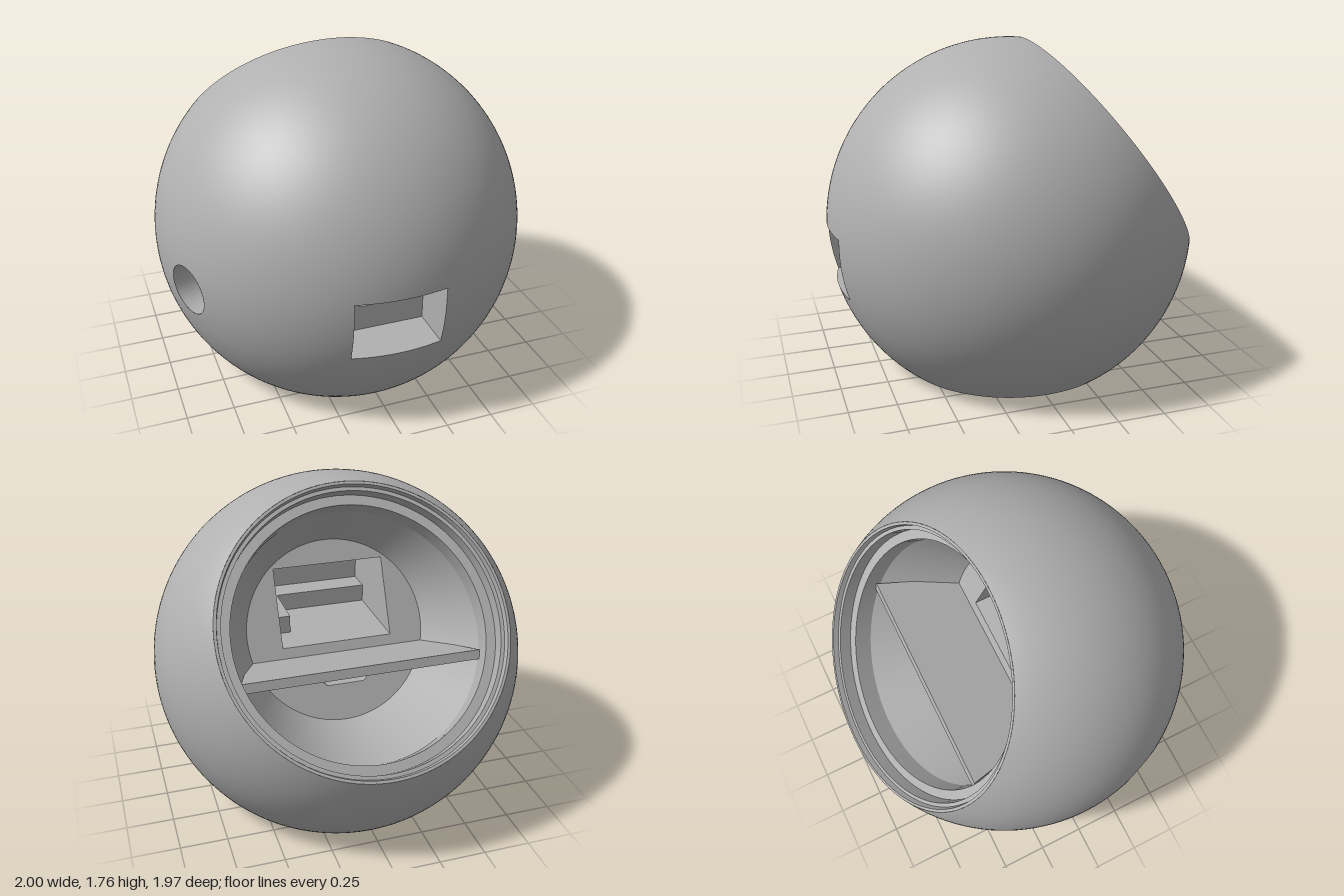
import * as THREE from 'three';
import { toCreasedNormals } from 'three/addons/utils/BufferGeometryUtils.js';

const V = (x, y, z) => new THREE.Vector3(x, y, z);
const BASE = 0.765;                       // sphere centre above the ground
const CUT = 0.653;                        // distance of the slanted cut from the centre
const AXIS = V(0, 0.588, -0.809).normalize();

// Cut a convex polygon by a plane into [part behind, part in front]
function split(poly, plane) {
  const behind = [], front = [];
  poly.forEach((a, i) => {
    const b = poly[(i + 1) % poly.length];
    const da = plane.distanceToPoint(a), db = plane.distanceToPoint(b);
    (da < 0 ? behind : front).push(a);
    if (da < 0 !== db < 0) {
      const p = a.clone().lerp(b, da / (da - db));
      behind.push(p);
      front.push(p);
    }
  });
  return [behind, front];
}

// Remove the convex region behind all the planes
function subtract(polys, planes) {
  const kept = [];
  for (const poly of polys) {
    let rest = poly;
    for (const plane of planes) {
      const [behind, front] = split(rest, plane);
      if (front.length > 2) kept.push(front);
      rest = behind;
      if (rest.length < 3) break;
    }
  }
  return kept;
}

// Skin between equal closed rings of points
function loft(...rings) {
  const pos = [], n = rings[0].length;
  for (let r = 0; r + 1 < rings.length; r++) {
    for (let i = 0; i < n; i++) {
      const j = (i + 1) % n, [p, q] = [rings[r], rings[r + 1]];
      for (const v of [p[i], p[j], q[i], p[j], q[j], q[i]]) pos.push(v.x, v.y, v.z);
    }
  }
  const g = new THREE.BufferGeometry();
  g.setAttribute('position', new THREE.Float32BufferAttribute(pos, 3));
  return toCreasedNormals(g, 0.6);
}

// Points of a rectangle outline, each side divided
function rect(x0, x1, y0, y1, n = 1) {
  const c = [[x0, y0], [x1, y0], [x1, y1], [x0, y1]];
  return c.flatMap(([x, y], k) => Array.from({ length: n }, (_, i) => {
    const [u, v] = c[(k + 1) % 4], t = i / n;
    return new THREE.Vector2(x + (u - x) * t, y + (v - y) * t);
  }));
}

// Points of a rectangle outline with round corners
function roundRect(x0, x1, y0, y1, r) {
  const s = new THREE.Shape();
  s.absarc(x1 - r, y1 - r, r, 0, Math.PI / 2);
  s.absarc(x0 + r, y1 - r, r, Math.PI / 2, Math.PI);
  s.absarc(x0 + r, y0 + r, r, Math.PI, Math.PI * 1.5);
  s.absarc(x1 - r, y0 + r, r, Math.PI * 1.5, Math.PI * 2);
  return s.getPoints(6);
}

function circle(n, fn) {
  return Array.from({ length: n }, (_, i) => fn(Math.cos(i / n * Math.PI * 2), Math.sin(i / n * Math.PI * 2)));
}

function panel(outline, ...holes) {
  const s = new THREE.Shape(outline);
  s.holes = holes.map(h => new THREE.Path(h));
  return new THREE.ShapeGeometry(s);
}

export function createModel() {
  const model = new THREE.Group();
  const body = new THREE.Group();
  body.name = 'sphericalHousing';
  body.position.set(0, BASE, -0.01);
  model.add(body);
  const grey = new THREE.MeshStandardMaterial({ color: 0xb0b0b0, side: THREE.DoubleSide });
  grey.name = 'grey';
  const add = (name, geometry) => {
    const mesh = new THREE.Mesh(geometry, grey);
    mesh.name = name;
    body.add(mesh);
    return mesh;
  };
  const plane = (x, y, z, c) => new THREE.Plane(V(x, y, z), c);

  // Outer shell: sphere minus base, slanted cut, front window and side bore
  const bore = V(-0.927, 0, 0.375).normalize(), boreSide = V(bore.z, 0, -bore.x);
  const boreY = -0.08, boreR = 0.135;
  const src = new THREE.SphereGeometry(1, 128, 80).toNonIndexed().attributes.position;
  let polys = [];
  for (let i = 0; i < src.count; i += 3) {
    polys.push([0, 1, 2].map(k => new THREE.Vector3().fromBufferAttribute(src, i + k)));
  }
  polys = subtract(polys, [plane(0, 1, 0, BASE)]);
  polys = subtract(polys, [new THREE.Plane(AXIS.clone().negate(), CUT)]);
  polys = subtract(polys, [plane(0, 0, -1, 0), plane(1, 0, 0, -0.22), plane(-1, 0, 0, -0.25),
    plane(0, 1, 0, -0.05), plane(0, -1, 0, -0.28)]);
  polys = subtract(polys, [new THREE.Plane(bore.clone().negate(), 0), ...circle(32, (c, s) => {
    const n = boreSide.clone().multiplyScalar(c).add(V(0, s, 0));
    return new THREE.Plane(n, -boreR - s * boreY);
  })]);
  const pos = [], nor = [];
  for (const p of polys) {
    for (let i = 1; i + 1 < p.length; i++) {
      for (const v of [p[0], p[i], p[i + 1]]) {
        pos.push(v.x, v.y, v.z);
        nor.push(...v.clone().normalize().toArray());
      }
    }
  }
  const shell = new THREE.BufferGeometry();
  shell.setAttribute('position', new THREE.Float32BufferAttribute(pos, 3));
  shell.setAttribute('normal', new THREE.Float32BufferAttribute(nor, 3));
  add('outerShell', shell);

  // Flat foot
  const foot = add('base', new THREE.CircleGeometry(Math.sqrt(1 - BASE * BASE), 96));
  foot.rotation.x = Math.PI / 2;
  foot.position.y = -BASE;

  // Stepped rim of the slanted opening
  const profile = [[0.757, 0], [0.742, 0], [0.737, 0.03], [0.717, 0.03], [0.717, 0.1], [0.665, 0.1], [0.665, 0.205]];
  const rim = add('steppedRim', toCreasedNormals(
    new THREE.LatheGeometry(profile.map(([r, d]) => new THREE.Vector2(r, CUT - d)), 96), 0.5));
  rim.quaternion.setFromUnitVectors(V(0, 1, 0), AXIS);

  // Tapered cavity from the rim to the tilted inner wall
  const TILT = 0.434, wallY = 0.13, ct = Math.cos(TILT), st = Math.sin(TILT);
  const mouth = AXIS.clone().multiplyScalar(CUT - 0.205);
  add('cavityWall', loft(
    circle(96, (c, s) => V(0.665 * c, mouth.y + 0.665 * s * 0.809, mouth.z + 0.665 * s * 0.588)),
    circle(96, (c, s) => V(0.5 * c, wallY + 0.5 * s * ct, 0.5 * s * st))));

  // Inner wall with an upper pocket opening and the lower slot
  const slot = roundRect(-0.145, 0.11, -0.145, -0.055, 0.035);
  const pocket = rect(-0.31, 0.31, 0.07, 0.465);
  const flat = pts => pts.map(p => new THREE.Vector2(p.x, (p.y - wallY) / ct));
  const onWall = pts => pts.map(p => V(p.x, p.y, (p.y - wallY) * st / ct));
  const atZ = (pts, z) => pts.map(p => V(p.x, p.y, z));
  const wall = add('innerWall', panel(circle(96, (c, s) => new THREE.Vector2(0.5 * c, 0.5 * s)), flat(pocket), flat(slot)));
  wall.rotation.x = TILT;
  wall.position.y = wallY;

  // Upper pocket with its stepped blocks
  add('upperPocketWalls', loft(onWall(pocket), atZ(pocket, 0.6)));
  add('upperPocketBack', panel(pocket)).position.z = 0.6;
  for (const [name, x0, x1, z0] of [['pocketSideBlock', 0.22, 0.31, 0.16], ['pocketRearBlock', -0.31, 0.22, 0.46]]) {
    add(name, new THREE.BoxGeometry(x1 - x0, 0.1, 0.6 - z0)).position.set((x0 + x1) / 2, 0.12, (0.6 + z0) / 2);
  }

  // Front window recess with a slot tunnel to the cavity
  const frame = rect(-0.25, 0.22, -0.28, 0.05, 12), back = 0.71;
  add('windowWalls', loft(frame.map(p => V(p.x, p.y, Math.sqrt(1 - p.lengthSq()))), atZ(frame, back)));
  add('windowBack', panel(frame, slot)).position.z = back;
  add('slotTunnel', loft(atZ(slot, back), onWall(slot)));

  // Round side bore
  const ring = depth => circle(32, (c, s) => {
    const y = boreY + boreR * s, u = boreR * c;
    const w = depth ?? Math.sqrt(1 - y * y - u * u);
    return boreSide.clone().multiplyScalar(u).addScaledVector(bore, w).add(V(0, y, 0));
  });
  add('sideBore', loft(ring(), ring(0.68)));
  const cap = add('sideBoreEnd', new THREE.CircleGeometry(boreR, 32));
  cap.quaternion.setFromUnitVectors(V(0, 0, 1), bore);
  cap.position.copy(bore).multiplyScalar(0.68).add(V(0, boreY, 0));

  // Sloping shelf across the cavity
  const shelf = new THREE.Shape([[-0.635, 0], [0.635, 0], [0.5, 0.52], [-0.5, 0.52]].map(p => new THREE.Vector2(...p)));
  const plate = add('shelf', new THREE.ExtrudeGeometry(shelf, { depth: 0.05, bevelEnabled: false }));
  plate.rotation.x = 1.862;
  plate.position.set(0, 0.149, -0.49);

  return model;
}
